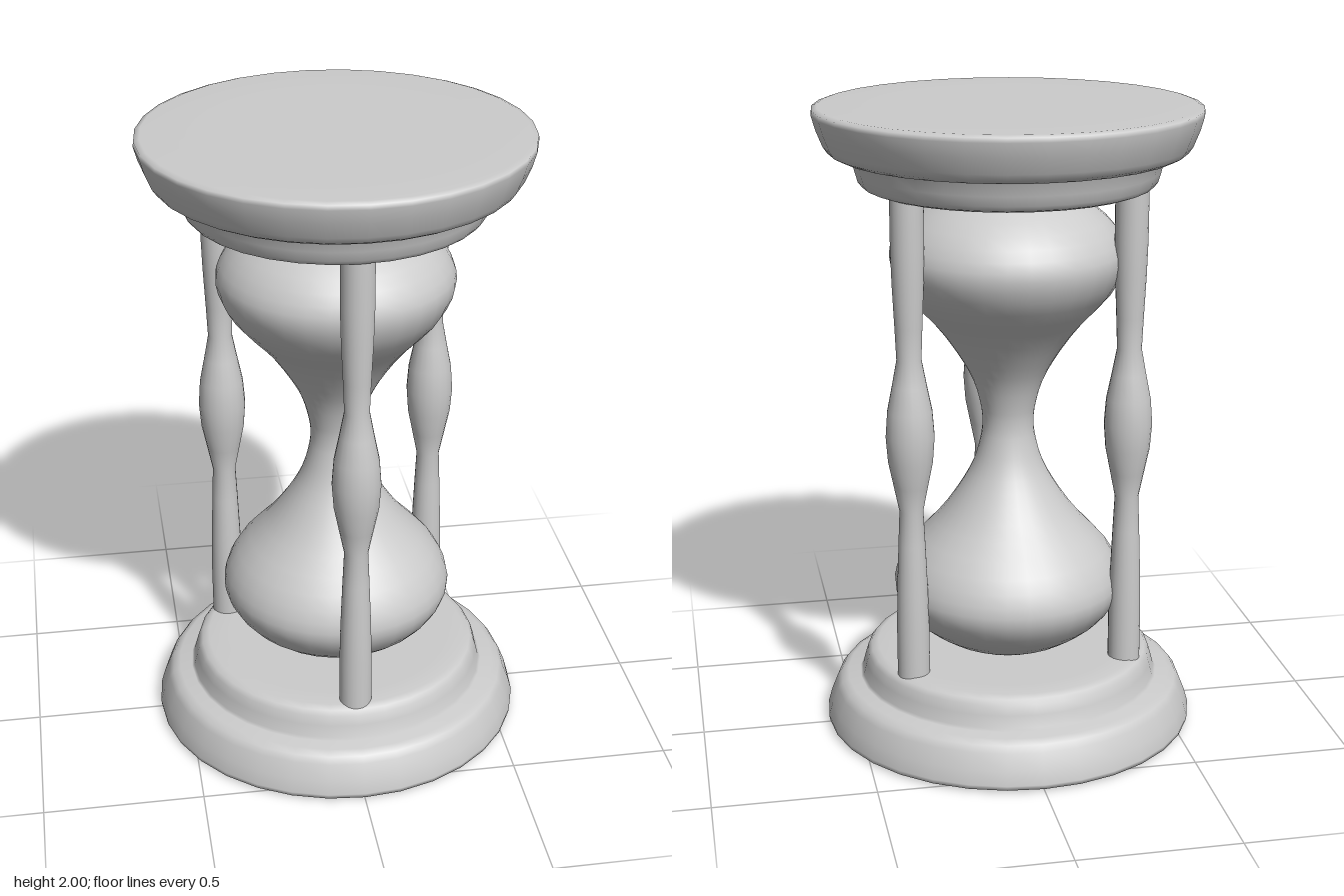
import * as THREE from 'three';

const material = new THREE.MeshStandardMaterial({ color: 0xcccccc });

// Turned part: profile of [radius, height] pairs, listed from bottom to top
function turned(name, profile, sides) {
  const points = profile.map(([r, y]) => new THREE.Vector2(r, y));
  const mesh = new THREE.Mesh(new THREE.LatheGeometry(points, sides), material);
  mesh.name = name;
  return mesh;
}

// Mirror a profile about mid height, keeping it in bottom-to-top order
const flipped = (profile) => profile.map(([r, y]) => [r, 2 - y]).reverse();

// Smooth profile through a few points
function smooth(profile, steps) {
  const curve = new THREE.SplineCurve(profile.map(([r, y]) => new THREE.Vector2(r, y)));
  return curve.getPoints(steps).map((p) => [p.x, p.y]);
}

export function createModel() {
  const group = new THREE.Group();
  group.name = 'hourglass';

  // Stepped round plates at the bottom and the top
  const plate = [
    [0, 0], [0.42, 0], [0.575, 0.002], [0.592, 0.008], [0.594, 0.022],
    [0.582, 0.065], [0.562, 0.115], [0.548, 0.135], [0.525, 0.147], [0.485, 0.15],
    [0.477, 0.158], [0.468, 0.195], [0.459, 0.225], [0.447, 0.24], [0.425, 0.248],
    [0.36, 0.25], [0, 0.25],
  ];
  group.add(turned('basePlate', plate, 32));
  group.add(turned('topPlate', flipped(plate), 32));

  // Glass: two bulbs joined by a narrow neck
  const lowerBulb = [
    [0.1, 0.245], [0.19, 0.27], [0.3, 0.343], [0.357, 0.42], [0.364, 0.49],
    [0.32, 0.58], [0.22, 0.69], [0.15, 0.79], [0.108, 0.87], [0.086, 0.95],
  ];
  const glass = smooth([...lowerBulb, [0.081, 1], ...flipped(lowerBulb)], 48);
  group.add(turned('glass', glass, 32));

  // Three turned posts evenly spaced around the glass, one at the front
  const lowerPost = [
    [0.051, 0.24], [0.051, 0.4], [0.048, 0.53], [0.042, 0.68], [0.037, 0.79],
    [0.053, 0.87], [0.069, 0.95],
  ];
  const upperPost = [
    [0.075, 1.03], [0.069, 1.11], [0.053, 1.19], [0.038, 1.27], [0.042, 1.37],
    [0.048, 1.5], [0.051, 1.61], [0.051, 1.76],
  ];
  for (let i = 0; i < 3; i++) {
    const angle = (i * Math.PI * 2) / 3;
    const post = turned('post' + (i + 1), [...lowerPost, ...upperPost], 20);
    post.position.set(Math.sin(angle) * 0.393, 0, Math.cos(angle) * 0.393);
    group.add(post);
  }

  return group;
}
